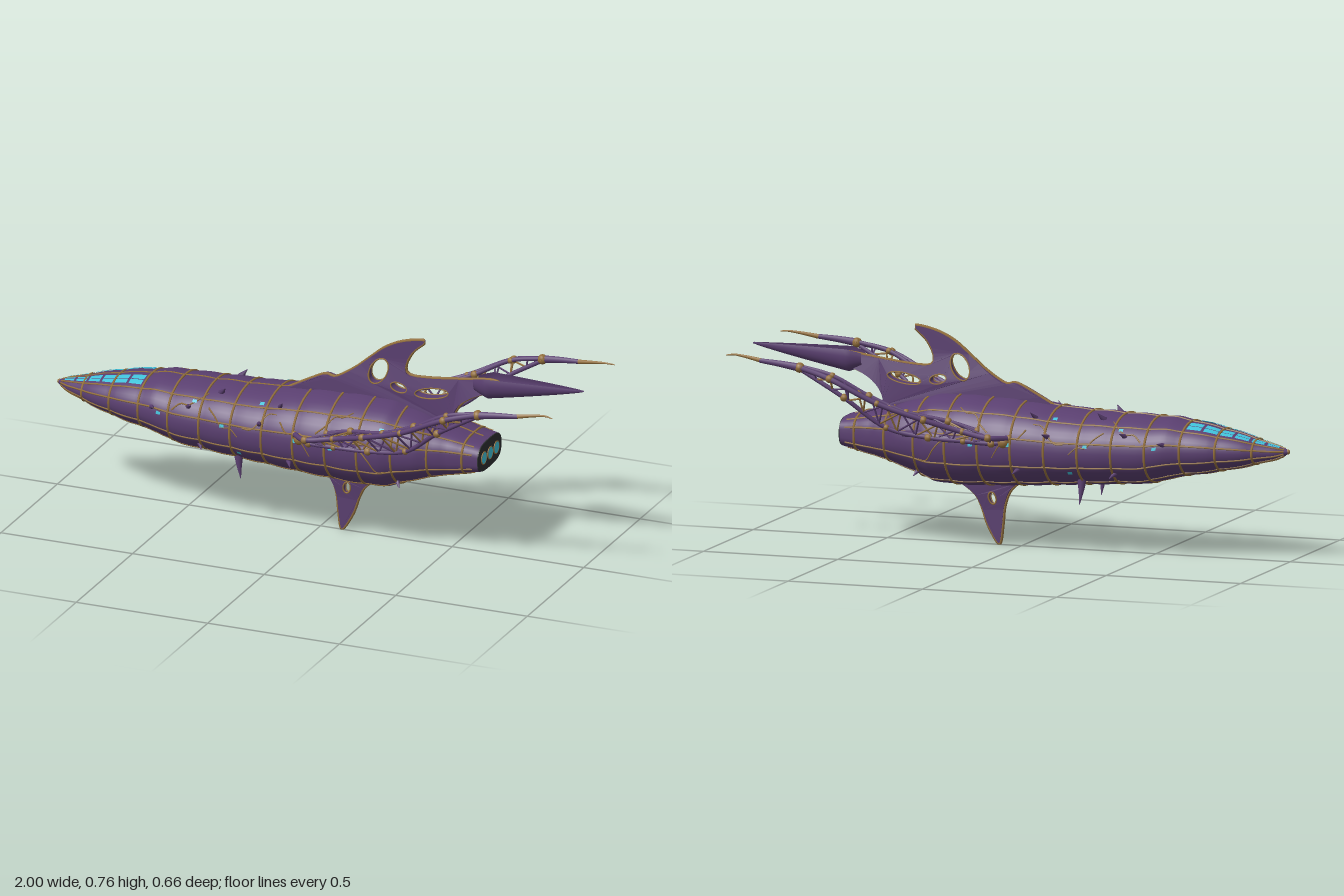
import * as THREE from 'three';
import { mergeVertices } from 'three/addons/utils/BufferGeometryUtils.js';

const purple = new THREE.MeshStandardMaterial({ color: 0x5a3f70, side: THREE.DoubleSide });
purple.name = 'purple hull';
const gold = new THREE.MeshStandardMaterial({ color: 0x94703c });
gold.name = 'antique gold';
const cyan = new THREE.MeshStandardMaterial({ color: 0x40c2da, side: THREE.DoubleSide });
cyan.name = 'cyan glow';
const dark = new THREE.MeshStandardMaterial({ color: 0x2c2f30 });
dark.name = 'dark metal';

const V = (x, y, z) => new THREE.Vector3(x, y, z);
const rad = THREE.MathUtils.degToRad;

// hull stations: x, top, bottom, half width
const STATIONS = [
  [-0.995, 0.395, 0.382, 0.007], [-0.95, 0.41, 0.36, 0.036], [-0.85, 0.434, 0.335, 0.08],
  [-0.74, 0.46, 0.31, 0.117], [-0.58, 0.486, 0.282, 0.15], [-0.5, 0.488, 0.256, 0.163],
  [-0.2, 0.497, 0.235, 0.183], [0, 0.52, 0.221, 0.194], [0.2, 0.528, 0.212, 0.196],
  [0.3, 0.522, 0.219, 0.188], [0.42, 0.488, 0.266, 0.158], [0.52, 0.455, 0.3, 0.122],
  [0.64, 0.432, 0.324, 0.105]];
const RIB0 = -0.88, RIB_STEP = 0.122;

// point on the hull skin at length x and angle a (0 = +z side, 90 deg = top)
function skin(x, a, off = 0) {
  let i = 0;
  while (i < STATIONS.length - 2 && x > STATIONS[i + 1][0]) i++;
  const p = STATIONS[i], q = STATIONS[i + 1], t = (x - p[0]) / (q[0] - p[0]);
  const [top, bot, w] = [1, 2, 3].map(k => p[k] + (q[k] - p[k]) * t);
  const swell = x > RIB0 && x < 0.6 ? 0.004 * Math.abs(Math.sin(Math.PI * (x - RIB0) / RIB_STEP)) : 0;
  const e = 2 / (2.15 + 0.9 * THREE.MathUtils.smoothstep(x, 0.35, 0.64));
  const c = Math.cos(a), s = Math.sin(a), o = off + swell;
  return V(x, (top + bot) / 2 + ((top - bot) / 2 + o) * Math.sign(s) * Math.abs(s) ** e,
    (w + o) * Math.sign(c) * Math.abs(c) ** e);
}

// smooth grid surface from a rule f(u, v)
function surface(f, nu, nv) {
  const pos = [], idx = [];
  for (let i = 0; i <= nu; i++) for (let j = 0; j <= nv; j++) pos.push(...f(i / nu, j / nv).toArray());
  for (let i = 0; i < nu; i++) for (let j = 0; j < nv; j++) {
    const a = i * (nv + 1) + j, b = a + nv + 1;
    idx.push(a, b, a + 1, b, b + 1, a + 1);
  }
  let g = new THREE.BufferGeometry();
  g.setAttribute('position', new THREE.Float32BufferAttribute(pos, 3));
  g.setIndex(idx);
  g = mergeVertices(g, 1e-5);
  g.computeVertexNormals();
  return g;
}

// tube through points, optionally tapering from r0 to r1
function tubeGeo(pts, r0, r1 = r0, closed = false, n = pts.length * 5, sides = 6) {
  const curve = new THREE.CatmullRomCurve3(pts, closed);
  const g = new THREE.TubeGeometry(curve, n, r0, sides, closed);
  if (r1 !== r0) {
    const p = g.attributes.position, v = V(0, 0, 0);
    for (let k = 0; k < p.count; k++) {
      const t = Math.floor(k / (sides + 1)) / n, c = curve.getPointAt(t);
      v.fromBufferAttribute(p, k).sub(c).multiplyScalar(1 + (r1 / r0 - 1) * t).add(c);
      p.setXYZ(k, v.x, v.y, v.z);
    }
  }
  return g;
}

export function createModel() {
  const ship = new THREE.Group();
  ship.name = 'organicStarship';
  const add = (name, geo, mat, parent = ship) => {
    const m = new THREE.Mesh(geo, mat);
    m.name = name;
    parent.add(m);
    return m;
  };

  // hull
  add('hull', surface((u, v) => skin(-0.995 + 1.635 * u, v * 2 * Math.PI), 134, 48), purple);
  add('noseTip', new THREE.SphereGeometry(0.009, 10, 8).translate(-0.991, 0.389, 0), gold);

  // gold ribs around the hull and seams along it
  for (let x = RIB0; x < 0.6; x += RIB_STEP) {
    const pts = Array.from({ length: 40 }, (_, i) => skin(x, i / 40 * 2 * Math.PI, 0.001));
    add('hullRib', tubeGeo(pts, 0.0045, 0.0045, true, 72), gold);
  }
  for (const d of [90, 46, 14, -22, -56, -90, 134, 166, 202, 236]) {
    const pts = Array.from({ length: 50 }, (_, i) => skin(-0.98 + i / 49 * 1.6, rad(d), 0));
    add('hullSeam', tubeGeo(pts, 0.0034, 0.0034, false, 110, 5), gold);
  }

  // engine plate with three glowing ports
  const outline = Array.from({ length: 48 }, (_, i) => {
    const p = skin(0.64, i / 48 * 2 * Math.PI, -0.001);
    return new THREE.Vector2(-p.z, p.y);
  });
  add('enginePlate', new THREE.ExtrudeGeometry(new THREE.Shape(outline), { depth: 0.008, bevelEnabled: false })
    .rotateY(Math.PI / 2).translate(0.635, 0, 0), dark);
  for (const z of [-0.055, 0, 0.055]) {
    add('enginePort', new THREE.CylinderGeometry(0.021, 0.021, 0.006, 24).rotateZ(Math.PI / 2)
      .translate(0.643, 0.377, z), cyan);
    add('portRing', new THREE.TorusGeometry(0.0225, 0.002, 6, 24).rotateY(Math.PI / 2)
      .translate(0.645, 0.377, z), gold);
  }

  // flat fin with a swept outline, thick at the root and thin at the tip
  const v2 = pts => pts.map(p => new THREE.Vector2(...p));
  function fin(name, edge, root, holes, thick, rim) {
    const spline = new THREE.SplineCurve(v2(edge)).getPoints(60);
    const shape = new THREE.Shape([...spline, ...v2(root)]);
    holes.forEach(([x, y, rx, ry, rot]) =>
      shape.holes.push(new THREE.Path().absellipse(x, y, rx, ry, 0, 2 * Math.PI, true, rot)));
    const g = new THREE.ExtrudeGeometry(shape, { depth: 2, bevelEnabled: false, curveSegments: 20 }).translate(0, 0, -1);
    const p = g.attributes.position;
    for (let i = 0; i < p.count; i++) p.setZ(i, p.getZ(i) * thick(p.getY(i)));
    g.computeVertexNormals();
    const group = new THREE.Group();
    group.name = name;
    ship.add(group);
    add(name + 'Blade', g, purple, group);
    add(name + 'Rim', tubeGeo(spline.map(q => V(q.x, q.y, 0)), rim, rim, false, 100), gold, group);
    holes.forEach(([x, y, rx, ry, rot]) => {
      const ring = new THREE.EllipseCurve(x, y, rx, ry, 0, 2 * Math.PI, false, rot).getPoints(20).slice(0, 20);
      for (const s of [1, -1])
        add(name + 'HoleRim', tubeGeo(ring.map(q => V(q.x, q.y, s * thick(q.y) * 0.9)), 0.003, 0.003, true, 30), gold, group);
    });
  }
  fin('dorsalFin',
    [[-0.12, 0.505], [-0.04, 0.548], [0.02, 0.576], [0.06, 0.572], [0.13, 0.615], [0.19, 0.665], [0.25, 0.713],
      [0.32, 0.745], [0.398, 0.757], [0.352, 0.71], [0.325, 0.655], [0.34, 0.622], [0.42, 0.622], [0.53, 0.635],
      [0.66, 0.65], [0.69, 0.62], [0.6, 0.588], [0.54, 0.55], [0.51, 0.5], [0.52, 0.46]],
    [[0.45, 0.43], [0.2, 0.46], [0, 0.46]],
    [[0.225, 0.622, 0.032, 0.05, -0.5], [0.305, 0.575, 0.032, 0.017, -0.2], [0.43, 0.572, 0.065, 0.019, 0.15]],
    y => THREE.MathUtils.lerp(0.024, 0.006, THREE.MathUtils.smoothstep(y, 0.54, 0.68)), 0.0065);
  fin('ventralFin',
    [[0.0, 0.23], [0.04, 0.195], [0.062, 0.14], [0.07, 0.07], [0.078, 0.012], [0.09, 0.01], [0.125, 0.07],
      [0.148, 0.135], [0.175, 0.18], [0.24, 0.225]],
    [[0.22, 0.25], [0.03, 0.25]],
    [[0.105, 0.165, 0.014, 0.022, -0.2]],
    y => THREE.MathUtils.lerp(0.006, 0.018, THREE.MathUtils.smoothstep(y, 0.1, 0.22)), 0.0065);

  // scoop-shaped tail spike behind the dorsal fin
  add('tailSpike', surface((u, v) => {
    const r = 0.002 + 0.046 * (1 - u) ** 0.85 * Math.min(1, 0.5 + u * 4), a = rad(-205 + 230 * v);
    return V(0.59 + 0.41 * u, 0.637 + 0.026 * u + 1.35 * r * Math.sin(a), r * Math.cos(a));
  }, 24, 18), purple);
  add('tailKeel', tubeGeo([V(0.62, 0.6, 0), V(0.8, 0.632, 0), V(0.995, 0.663, 0)], 0.008, 0.003), purple);

  for (const s of [1, -1]) {
    // lattice arm: two upper chords and one lower chord joined by rungs
    const arm = new THREE.Group();
    arm.name = s > 0 ? 'armFrontSide' : 'armBackSide';
    ship.add(arm);
    const P = list => list.map(([x, y, z]) => V(x, y, z * s));
    const chords = [
      P([[-0.02, 0.41, 0.185], [0.04, 0.415, 0.235], [0.14, 0.43, 0.222], [0.27, 0.47, 0.262], [0.43, 0.525, 0.298], [0.6, 0.605, 0.315], [0.72, 0.635, 0.29]]),
      P([[-0.02, 0.395, 0.18], [0.04, 0.39, 0.2], [0.14, 0.395, 0.212], [0.27, 0.4, 0.212], [0.42, 0.43, 0.23], [0.56, 0.535, 0.275], [0.72, 0.63, 0.288]]),
      P([[0.1, 0.43, 0.18], [0.2, 0.46, 0.2], [0.34, 0.492, 0.245], [0.47, 0.545, 0.268], [0.6, 0.612, 0.285], [0.72, 0.638, 0.284]])];
    const curves = chords.map(c => new THREE.CatmullRomCurve3(c));
    chords.forEach((c, k) => {
      add('armChord', tubeGeo(c, k ? 0.008 : 0.0095, k ? 0.008 : 0.0095, false, 50, 8), purple, arm);
      c.forEach((p, i) => add('armJoint', new THREE.SphereGeometry(i % 2 ? 0.014 : 0.0115, 10, 8)
        .translate(p.x, p.y, p.z), gold, arm));
    });
    for (let i = 1; i < 12; i++) {
      const [a, b, c] = curves.map(q => q.getPointAt(i / 12)), n = curves[1].getPointAt((i + 1) / 12);
      for (const pair of [[a, b], [b, c], [c, a], [a, n]])
        add('armRung', tubeGeo(pair, 0.0035, 0.0035, false, 1, 5), i % 2 ? purple : gold, arm);
    }
    // root collar and curved claw
    add('armCollar', new THREE.SphereGeometry(0.024, 14, 10).translate(0.0, 0.395, 0.182 * s), gold, arm);
    add('armRoot', tubeGeo(P([[0.12, 0.4, 0.17], [0.2, 0.4, 0.205], [0.3, 0.41, 0.2], [0.38, 0.4, 0.165]]), 0.011), purple, arm);
    add('armWrist', new THREE.SphereGeometry(0.018, 12, 10).translate(0.72, 0.634, 0.288 * s), gold, arm);
    add('armClaw', tubeGeo(P([[0.71, 0.633, 0.29], [0.79, 0.643, 0.287], [0.87, 0.65, 0.282]]), 0.015, 0.008, false, 16, 8), purple, arm);
    add('clawTip', tubeGeo(P([[0.86, 0.649, 0.282], [0.93, 0.66, 0.274], [0.97, 0.664, 0.272], [0.999, 0.661, 0.277]]), 0.0085, 0.002, false, 16, 8), gold, arm);

    // cockpit panes and small running lights laid on the skin
    const pane = (name, x0, x1, d0, d1, n = 6) => add(name, surface((u, v) => {
      const p = skin(x0 + (x1 - x0) * u, rad(d0 + (d1 - d0) * v), 0.003);
      p.z *= s;
      return p;
    }, n, n), cyan);
    for (const [x0, x1] of [[-0.965, -0.925], [-0.915, -0.872], [-0.862, -0.815], [-0.805, -0.763], [-0.753, -0.705], [-0.695, -0.645]]) {
      pane('cockpitPane', x0, x1, 54, 65);
      pane('cockpitPane', x0, x1, 66.5, 78);
    }
    for (const [x, d] of [[-0.55, 8], [-0.3, 10], [-0.02, 6], [0.12, 4], [-0.17, 52], [-0.42, 40], [0.3, 35], [-0.24, -30]])
      pane('runningLight', x - 0.008, x + 0.008, d - 2.5, d + 2.5, 2);

    // thorns growing from the skin: x, angle, length, radius, backward lean
    for (const [x, d, len, r, lean] of [[-0.34, 62, 0.022, 0.013, 0.02], [-0.44, 30, 0.02, 0.011, 0.015],
      [-0.16, 22, 0.025, 0.011, 0.012], [-0.58, 14, 0.018, 0.01, 0.015], [-0.1, 50, 0.022, 0.01, 0.015],
      [-0.4, -35, 0.022, 0.011, 0.015], [-0.05, -28, 0.022, 0.011, 0.015], [0.34, -50, 0.022, 0.011, 0.015]]) {
      const a = skin(x, rad(d), -0.006), b = skin(x, rad(d), len);
      b.x += lean;
      [a, b].forEach(p => { p.z *= s; });
      add('thorn', tubeGeo([a, b], r, 0.001, false, 3, 8), purple);
    }
    add('bellySpike', tubeGeo(P([[-0.265, 0.275, 0.108], [-0.262, 0.225, 0.109], [-0.256, 0.178, 0.11]]), 0.018, 0.001, false, 8, 10), purple);

    // wandering gold veins across the flanks
    for (let k = 0; k < 7; k++) {
      const x = -0.5 + k * 0.14, d = 20 + 12 * Math.sin(k * 2.3);
      const pts = [0, 1, 2, 3, 4].map(i => {
        const p = skin(x + i * 0.03, rad(d + i * 8 * (k % 2 ? -1 : 1) + 5 * Math.sin(i * 2 + k)), 0.001);
        p.z *= s;
        return p;
      });
      add('hullVein', tubeGeo(pts, 0.0032, 0.002, false, 20, 5), gold);
    }
  }
  return ship;
}
